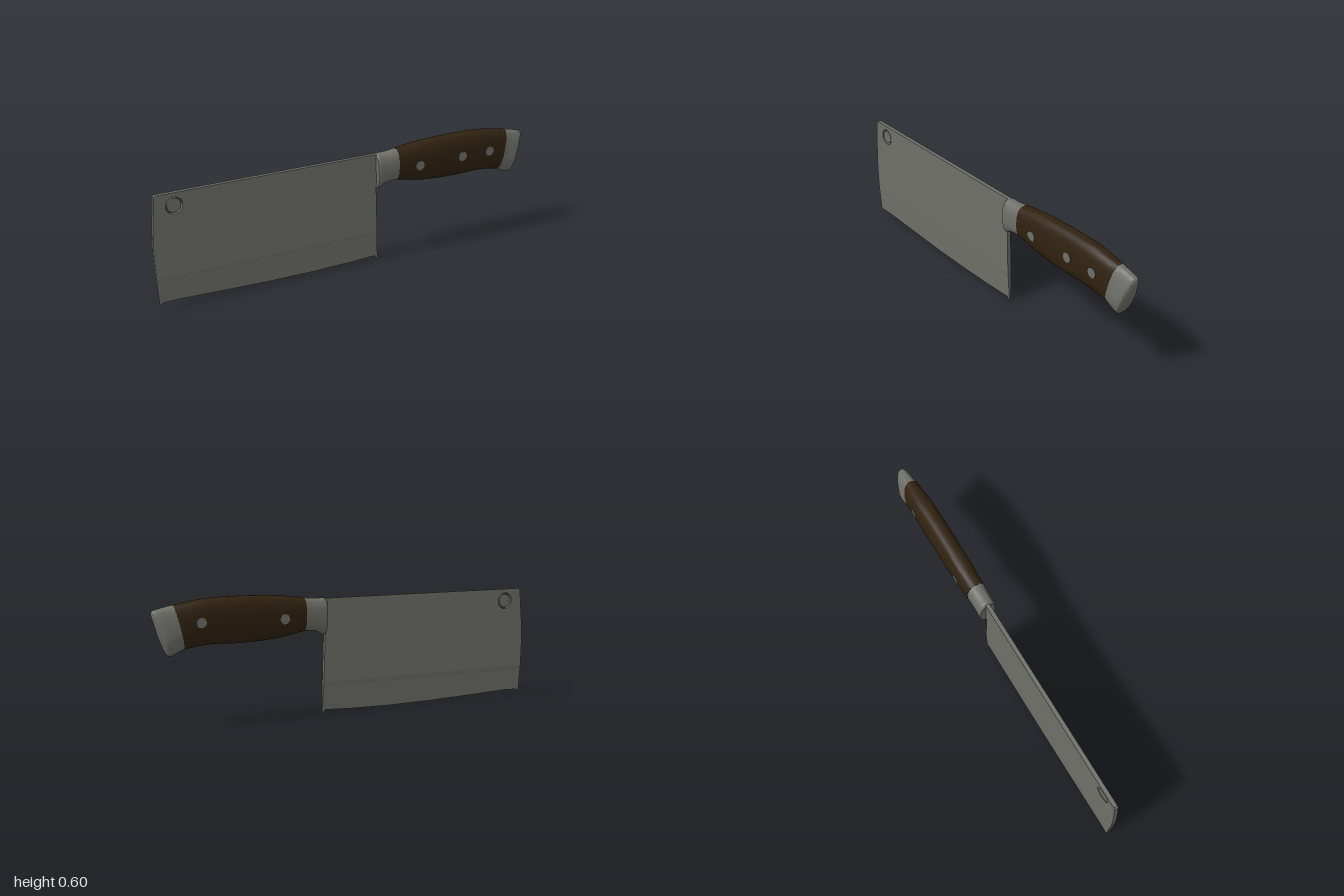
import * as THREE from 'three';
import { toCreasedNormals } from 'three/addons/utils/BufferGeometryUtils.js';

const steel = new THREE.MeshStandardMaterial({ color: 0x70706a });
steel.name = 'steel';
const wood = new THREE.MeshStandardMaterial({ color: 0x302210 });
wood.name = 'darkWood';

function addMesh(parent, name, geometry, material) {
  const mesh = new THREE.Mesh(geometry, material);
  mesh.name = name;
  parent.add(mesh);
  return mesh;
}

// Blade half thickness at a given height: thick body, short step, then a taper to the edge
function halfThickness(y) {
  if (y >= 0.16) return 0.01;
  if (y >= 0.135) return THREE.MathUtils.mapLinear(y, 0.135, 0.16, 0.0085, 0.01);
  return THREE.MathUtils.mapLinear(y, 0, 0.135, 0.0035, 0.0085);
}

// Plate extruded from an outline, thinned by the height rule
function plate(shape) {
  const geo = new THREE.ExtrudeGeometry(shape, { depth: 2, bevelEnabled: false, curveSegments: 24 });
  const p = geo.attributes.position;
  for (let i = 0; i < p.count; i++) p.setZ(i, (p.getZ(i) - 1) * halfThickness(p.getY(i)));
  geo.computeVertexNormals();
  return geo;
}

function outline(points) {
  return new THREE.Shape(points.map(([x, y]) => new THREE.Vector2(x, y)));
}

// Loft along the handle. Each key is [topX, topY, bottomX, bottomY, halfWidth, egg];
// egg narrows the upper half of the section.
function loft(keys, steps = 20, sides = 40) {
  const top = new THREE.CatmullRomCurve3(keys.map(k => new THREE.Vector3(k[0], k[1], k[4])));
  const bottom = new THREE.CatmullRomCurve3(keys.map(k => new THREE.Vector3(k[2], k[3], k[5] || 0)));
  const pos = [], index = [];
  const power = (v) => Math.sign(v) * Math.pow(Math.abs(v), 2 / 2.6);
  for (let i = -1; i <= steps + 1; i++) {
    const u = THREE.MathUtils.clamp(i / steps, 0, 1);
    const t = top.getPoint(u), b = bottom.getPoint(u);
    const size = i < 0 || i > steps ? 0 : 1; // closed ends
    for (let j = 0; j < sides; j++) {
      const a = (j / sides) * Math.PI * 2;
      const s = power(Math.sin(a)) * size;
      const k = (s + 1) / 2;
      const w = t.z * power(Math.cos(a)) * size * (1 - b.z * Math.max(s + 0.3, 0));
      pos.push(b.x + (t.x - b.x) * k, b.y + (t.y - b.y) * k, w);
    }
  }
  for (let i = 0; i < steps + 2; i++) {
    for (let j = 0; j < sides; j++) {
      const n = (j + 1) % sides;
      const a = i * sides + j, b = a + sides, c = (i + 1) * sides + n, d = i * sides + n;
      if (i <= steps) index.push(a, b, c);
      if (i > 0) index.push(a, c, d);
    }
  }
  const geo = new THREE.BufferGeometry();
  geo.setAttribute('position', new THREE.Float32BufferAttribute(pos, 3));
  geo.setIndex(index);
  return toCreasedNormals(geo, 0.7);
}

export function createModel() {
  const model = new THREE.Group();
  model.name = 'cleaver';

  // Blade body with hanging hole
  const blade = new THREE.Group();
  blade.name = 'blade';
  model.add(blade);
  const body = outline([
    [-0.996, 0.16], [0.152, 0.16], [0.144, 0.4], [0.16, 0.42], [0.16, 0.567], [-0.973, 0.567],
    [-0.982, 0.56], [-0.99, 0.47], [-0.997, 0.38], [-1, 0.29],
  ]);
  body.holes.push(new THREE.Path().absarc(-0.89, 0.505, 0.041, 0, Math.PI * 2, true));
  addMesh(blade, 'bladeBody', plate(body), steel);

  // Step between body and ground edge
  addMesh(blade, 'bladeStep', plate(outline([
    [-0.995, 0.135], [0.153, 0.135], [0.152, 0.16], [-0.996, 0.16],
  ])), steel);

  // Ground edge with small downturned corners
  addMesh(blade, 'cuttingEdge', plate(outline([
    [-0.995, 0.135], [-0.989, 0.03], [-0.983, 0.02], [-0.975, 0.03], [-0.9, 0.032], [-0.7, 0.024],
    [-0.45, 0.015], [-0.2, 0.012], [0, 0.015], [0.14, 0.021], [0.148, 0.014], [0.154, 0], [0.159, 0.006],
    [0.153, 0.135],
  ])), steel);

  // Disc sitting loosely in the hole
  const disc = addMesh(blade, 'holeDisc', new THREE.CylinderGeometry(0.034, 0.034, 0.016, 32), steel);
  disc.rotation.x = Math.PI / 2;
  disc.position.set(-0.89, 0.505, 0);

  // Handle
  const handle = new THREE.Group();
  handle.name = 'handle';
  model.add(handle);
  addMesh(handle, 'bolster', loft([
    [0.141, 0.562, 0.147, 0.392, 0.04], [0.15, 0.569, 0.154, 0.392, 0.043],
    [0.175, 0.568, 0.175, 0.404, 0.043], [0.21, 0.569, 0.21, 0.413, 0.044],
    [0.258, 0.575, 0.258, 0.416, 0.046],
  ]), steel);
  addMesh(handle, 'grip', loft([
    [0.256, 0.576, 0.256, 0.415, 0.047], [0.4, 0.592, 0.39, 0.39, 0.051], [0.6, 0.598, 0.58, 0.378, 0.052],
    [0.76, 0.592, 0.73, 0.381, 0.052], [0.9, 0.57, 0.855, 0.365, 0.05, 0.15],
  ], 28), wood);
  addMesh(handle, 'endCap', loft([
    [0.899, 0.57, 0.854, 0.365, 0.05, 0.15], [0.94, 0.562, 0.885, 0.35, 0.05, 0.25],
    [0.982, 0.552, 0.912, 0.338, 0.05, 0.28], [0.995, 0.547, 0.925, 0.339, 0.047, 0.3],
    [0.999, 0.538, 0.934, 0.35, 0.038, 0.3],
  ]), steel);

  // Rivets: three on the front, two on the back
  const rivet = new THREE.CylinderGeometry(0.024, 0.024, 0.008, 24);
  for (const [x, y, z, back] of [[0.37, 0.482, 0.0485, true], [0.617, 0.488, 0.05, false], [0.78, 0.488, 0.05, true]]) {
    for (const side of back ? [1, -1] : [1]) {
      const pin = addMesh(handle, 'rivet', rivet, steel);
      pin.rotation.x = Math.PI / 2;
      pin.position.set(x, y, side * z);
    }
  }
  return model;
}
